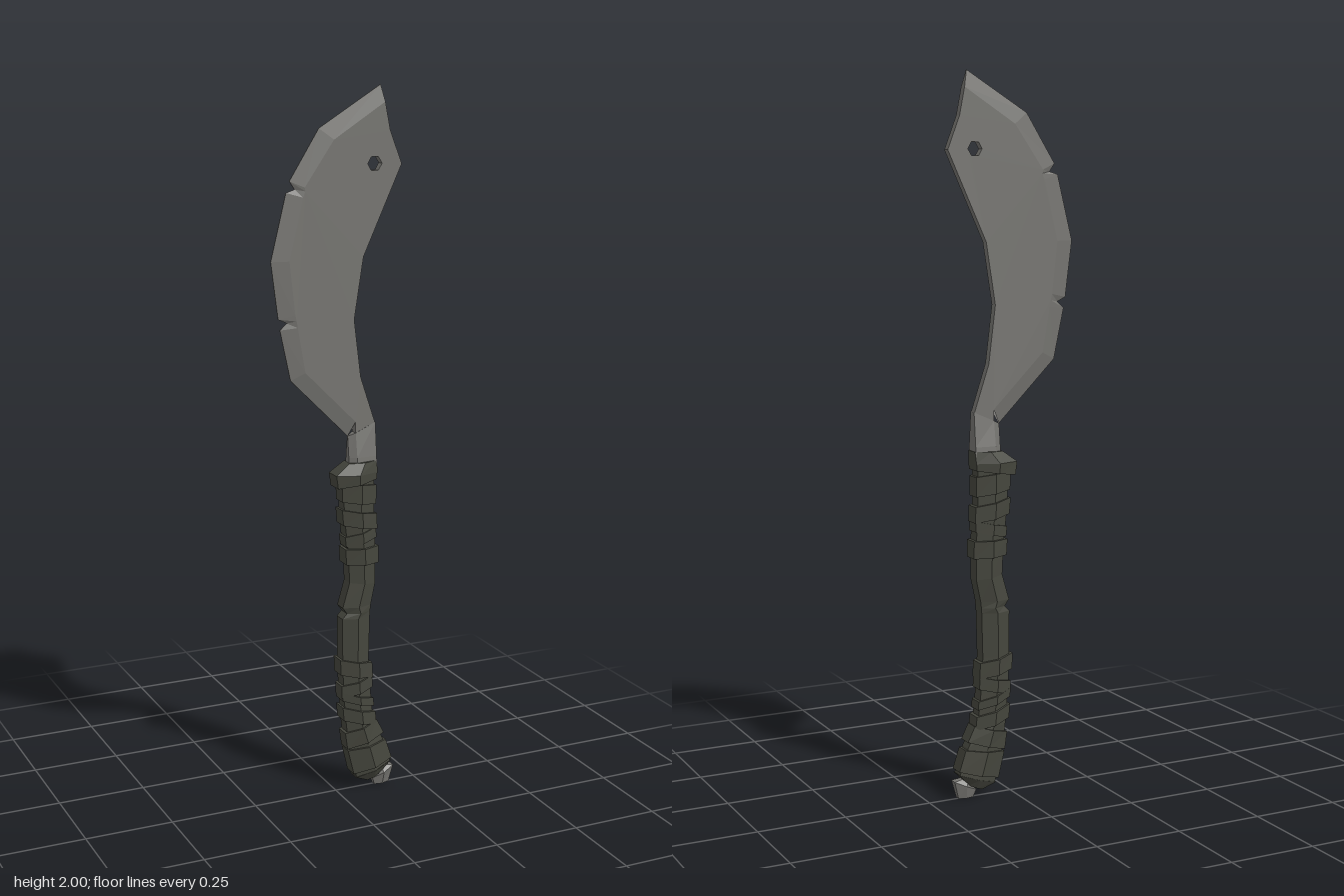
import * as THREE from 'three';

const metal = new THREE.MeshStandardMaterial({ color: 0x757470, side: THREE.DoubleSide });
metal.name = 'dull steel';
const leather = new THREE.MeshStandardMaterial({ color: 0x45463d });
leather.name = 'dark leather';

function meshFromTriangles(name, tris, material) {
  const geometry = new THREE.BufferGeometry();
  geometry.setAttribute('position', new THREE.Float32BufferAttribute(tris.flat(), 3));
  geometry.computeVertexNormals(); // unshared corners give flat facets
  const mesh = new THREE.Mesh(geometry, material);
  mesh.name = name;
  return mesh;
}

// Six-sided ring from a left and a right end; ridge is where along it the widest point lies
function ring({ xl, yl, xr, yr, mid, left, right = left, ridge = 0.5 }) {
  const xm = xl + (xr - xl) * ridge, ym = yl + (yr - yl) * ridge;
  return [[xl, yl, -left], [xl, yl, left], [xm, ym, mid],
    [xr, yr, right], [xr, yr, -right], [xm, ym, -mid]];
}

// Closed solid through rings listed from bottom to top
function loft(name, sections, material) {
  const rings = sections.map(ring), tris = [];
  for (let s = 0; s < rings.length - 1; s++) {
    for (let i = 0; i < 6; i++) {
      const j = (i + 1) % 6;
      const a = rings[s][i], b = rings[s][j], c = rings[s + 1][j], d = rings[s + 1][i];
      tris.push(...a, ...b, ...c, ...a, ...c, ...d);
    }
  }
  const low = rings[0], top = rings[rings.length - 1];
  for (let i = 1; i < 5; i++) {
    tris.push(...low[0], ...low[i + 1], ...low[i], ...top[0], ...top[i], ...top[i + 1]);
  }
  return meshFromTriangles(name, tris, material);
}

// Grip stations: left x, left y, right x, right y
const grip = [
  [0.058, 0.035, 0.165, 0.07], [0.035, 0.13, 0.14, 0.145], [0.025, 0.2, 0.11, 0.205],
  [0.016, 0.3, 0.1, 0.3], [0.013, 0.4, 0.094, 0.4], [0.012, 0.525, 0.097, 0.525],
  [0.026, 0.54, 0.098, 0.54], [0.013, 0.558, 0.1, 0.558], [0.034, 0.63, 0.113, 0.62],
  [0.03, 0.72, 0.113, 0.72], [0.018, 0.82, 0.108, 0.82], [0.014, 0.95, 0.108, 0.95],
];

function gripAt(y) {
  let i = 0;
  while (i < grip.length - 2 && grip[i + 1][1] < y) i++;
  const a = grip[i], b = grip[i + 1], t = (y - a[1]) / (b[1] - a[1]);
  return a.map((v, k) => v + (b[k] - v) * t);
}

// Section of the grip, enlarged by grow, with its right end raised by tilt
function gripSection(y, grow = 0, tilt = 0) {
  const [xl, yl, xr, yr] = gripAt(y);
  return { xl: xl - grow, yl: yl - tilt / 2, xr: xr + grow, yr: yr + tilt / 2,
    mid: 0.035 + grow, left: 0.019 + grow * 0.5 };
}

function buildBlade() {
  const blade = new THREE.Group();
  blade.name = 'blade';
  const half = 0.011, edgeHalf = 0.0015;

  // Cutting edge from the tip down, with two nicks, and the line where its bevel starts
  const edge = [[0.13, 2], [-0.05, 1.89], [-0.135, 1.755], [-0.12, 1.733], [-0.145, 1.725],
    [-0.19, 1.545], [-0.17, 1.39], [-0.145, 1.378], [-0.165, 1.36], [-0.135, 1.22], [0.035, 1.05]];
  const inner = [[0.14, 1.955], [-0.01, 1.86], [-0.095, 1.738], [-0.093, 1.728], [-0.1, 1.712],
    [-0.14, 1.545], [-0.124, 1.4], [-0.12, 1.383], [-0.117, 1.365], [-0.095, 1.24], [0.055, 1.09]];
  const spine = [[0.055, 1], [0.115, 1], [0.115, 1.08], [0.07, 1.215], [0.05, 1.375],
    [0.077, 1.545], [0.19, 1.79], [0.155, 1.88]];

  // Flat body with a round hole
  const shape = new THREE.Shape([...inner, ...spine].map(p => new THREE.Vector2(...p)));
  const hole = new THREE.Path();
  hole.absarc(0.11, 1.793, 0.021, 0, Math.PI * 2, true);
  shape.holes.push(hole);
  const body = new THREE.ExtrudeGeometry(shape, { depth: half * 2, bevelEnabled: false, curveSegments: 3 });
  body.translate(0, 0, -half);
  const bodyMesh = new THREE.Mesh(body, metal);
  bodyMesh.name = 'bladeBody';
  blade.add(bodyMesh);

  // Bevels on both sides, the thin edge face and the tip end
  const tris = [];
  const quad = (a, b, c, d) => tris.push(...a, ...b, ...c, ...a, ...c, ...d);
  const at = (p, z) => [p[0], p[1], z];
  for (let i = 0; i < edge.length - 1; i++) {
    const e = edge[i], f = edge[i + 1], n = inner[i], m = inner[i + 1];
    quad(at(e, edgeHalf), at(f, edgeHalf), at(m, half), at(n, half));
    quad(at(n, -half), at(m, -half), at(f, -edgeHalf), at(e, -edgeHalf));
    quad(at(e, -edgeHalf), at(f, -edgeHalf), at(f, edgeHalf), at(e, edgeHalf));
  }
  quad(at(edge[0], edgeHalf), at(inner[0], half), at(inner[0], -half), at(edge[0], -edgeHalf));
  blade.add(meshFromTriangles('cuttingEdge', tris, metal));

  // Tang thickening into the grip
  blade.add(loft('tang', [
    { xl: 0.035, yl: 0.95, xr: 0.115, yr: 0.95, mid: 0.026, left: 0.012, right: 0.024, ridge: 0.25 },
    { xl: 0.035, yl: 0.99, xr: 0.115, yr: 0.99, mid: 0.023, left: 0.01, right: 0.021, ridge: 0.25 },
    { xl: 0.035, yl: 1.05, xr: 0.115, yr: 1.085, mid: 0.012, left: 0.002, right: 0.011, ridge: 0.25 },
  ], metal));
  return blade;
}

function buildHandle() {
  const handle = new THREE.Group();
  handle.name = 'handle';
  handle.add(loft('grip', grip.map(s => gripSection(s[1])), leather));

  // Wrapped bands: bottom, top, growth, tilt
  const bands = [
    [0.05, 0.125, 0.007, 0.0], [0.14, 0.19, 0.006, 0.02], [0.205, 0.245, 0.009, -0.03],
    [0.265, 0.29, 0.007, -0.03], [0.3, 0.335, 0.006, 0.02], [0.35, 0.395, 0.009, -0.02],
    [0.685, 0.73, 0.009, 0.0], [0.745, 0.775, 0.004, 0.02], [0.79, 0.835, 0.008, -0.02],
    [0.86, 0.915, 0.006, -0.015],
  ];
  for (const [y0, y1, grow, tilt] of bands) {
    handle.add(loft('wrapBand', [gripSection(y0, grow, tilt), gripSection(y1, grow, tilt)], leather));
  }

  // Collar below the blade
  handle.add(loft('collar', [
    { xl: -0.004, yl: 0.908, xr: 0.113, yr: 0.925, mid: 0.046, left: 0.026 },
    { xl: -0.009, yl: 0.945, xr: 0.115, yr: 0.945, mid: 0.048, left: 0.026 },
    { xl: 0.032, yl: 0.975, xr: 0.117, yr: 0.978, mid: 0.034, left: 0.02 },
  ], leather));

  // Rounded butt and metal stud
  handle.add(loft('butt', [
    { xl: 0.095, yl: 0.02, xr: 0.135, yr: 0.037, mid: 0.022, left: 0.014 },
    { xl: 0.055, yl: 0.037, xr: 0.167, yr: 0.072, mid: 0.036, left: 0.02 },
  ], leather));
  handle.add(loft('stud', [
    { xl: 0.12, yl: 0, xr: 0.165, yr: 0.002, mid: 0.014, left: 0.008 },
    { xl: 0.112, yl: 0.022, xr: 0.178, yr: 0.052, mid: 0.022, left: 0.012 },
    { xl: 0.128, yl: 0.045, xr: 0.15, yr: 0.056, mid: 0.014, left: 0.008 },
  ], metal));
  return handle;
}

export function createModel() {
  const model = new THREE.Group();
  model.name = 'machete';
  model.add(buildBlade(), buildHandle());
  return model;
}
